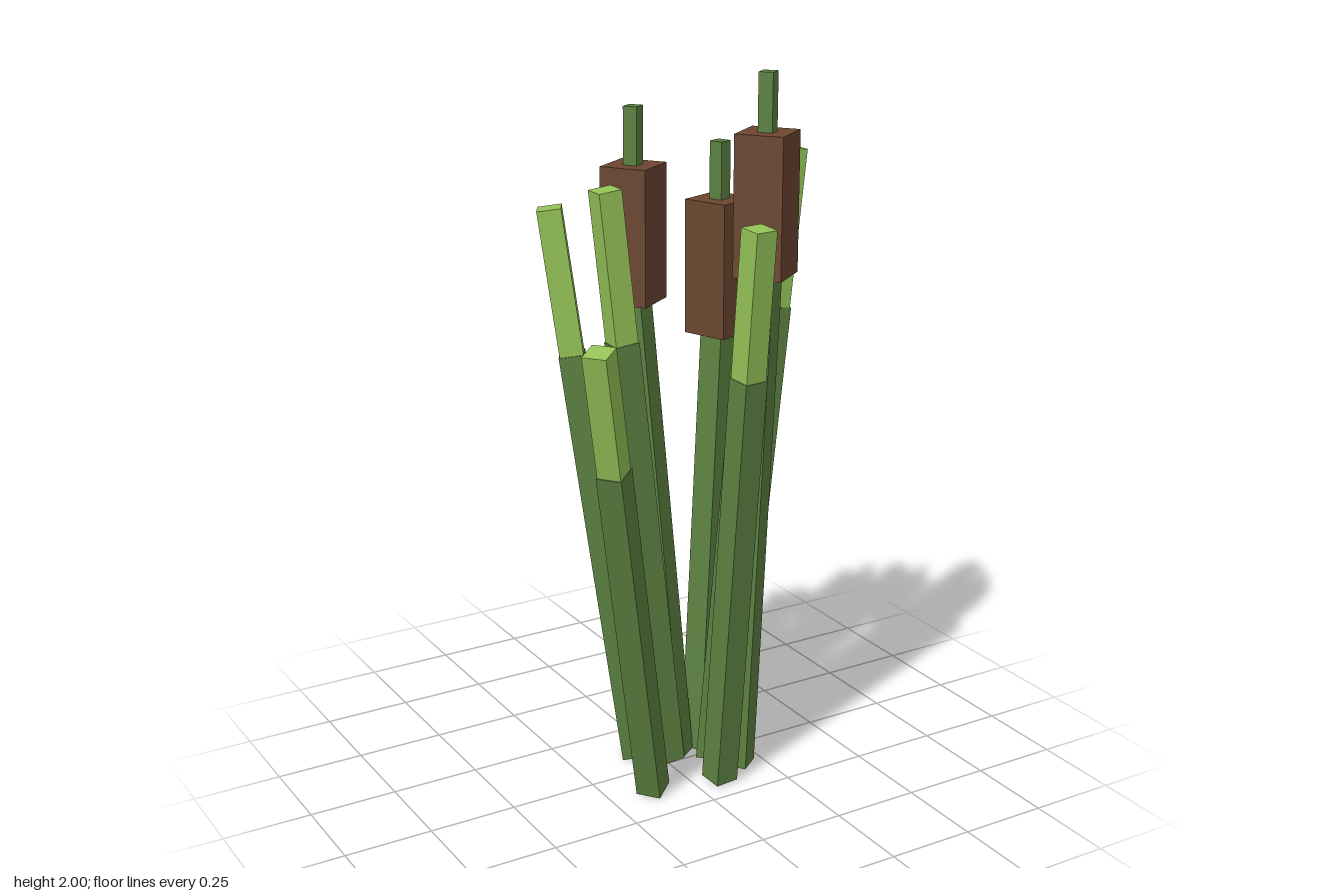
import * as THREE from 'three';

const deepGreen = new THREE.MeshStandardMaterial({ name: 'deepGreen', color: 0x5c8141 });
const lightGreen = new THREE.MeshStandardMaterial({ name: 'lightGreen', color: 0x94c257 });
const brown = new THREE.MeshStandardMaterial({ name: 'brown', color: 0x6b4630 });

const UP = new THREE.Vector3(0, 1, 0);

// Square bar between two points, its faces turned to the compass direction of the lean
function bar(name, material, from, to, width, yaw) {
  const dir = to.clone().sub(from);
  const mesh = new THREE.Mesh(new THREE.BoxGeometry(width, dir.length(), width), material);
  mesh.name = name;
  mesh.position.copy(from).add(to).multiplyScalar(0.5);
  const tilt = new THREE.Quaternion().setFromUnitVectors(UP, dir.normalize());
  mesh.quaternion.copy(tilt).multiply(new THREE.Quaternion().setFromAxisAngle(UP, yaw));
  return mesh;
}

// Leaning reed blade: dark lower length and a slightly thinner light tip
function makeBlade([bx, bz, tx, tz, height, breakY]) {
  const blade = new THREE.Group();
  blade.name = 'reedBlade';
  const base = new THREE.Vector3(bx, 0.005, bz);
  const tip = new THREE.Vector3(tx, height - 0.003, tz);
  const joint = base.clone().lerp(tip, breakY / height);
  const yaw = -Math.atan2(tz - bz, tx - bx);
  blade.add(
    bar('bladeStem', deepGreen, base, joint, 0.071, yaw),
    bar('bladeTip', lightGreen, joint, tip, 0.066, yaw),
  );
  return blade;
}

// Bulrush: leaning stem, upright brown head and a thin spike on top
function makeBulrush([bx, bz, hx, hz, headBottom, headTop, spikeTop, yaw]) {
  const rush = new THREE.Group();
  rush.name = 'bulrush';
  const at = (y) => new THREE.Vector3(hx, y, hz);
  rush.add(
    bar('bulrushStem', deepGreen, new THREE.Vector3(bx, 0.005, bz), at(headBottom + 0.01), 0.071, yaw),
    bar('bulrushHead', brown, at(headBottom), at(headTop), 0.134, yaw),
    bar('bulrushSpike', deepGreen, at(headTop), at(spikeTop), 0.04, yaw),
  );
  return rush;
}

export function createModel() {
  const model = new THREE.Group();
  model.name = 'reedClump';

  // base x, base z, tip x, tip z, height, colour break height
  const blades = [
    [-0.12, 0.117, -0.387, 0.318, 1.38, 1.035],
    [0.012, -0.022, -0.174, -0.03, 1.7, 1.28],
    [-0.06, -0.09, -0.251, -0.198, 1.63, 1.225],
    [0.208, -0.019, 0.4, -0.019, 1.76, 1.32],
    [0.196, -0.127, 0.342, -0.237, 1.52, 1.145],
    [0.07, -0.11, 0.084, -0.331, 1.278, 0.96],
    [0.075, 0.16, 0.09, 0.3, 1.63, 1.22],
    [0.126, 0.023, 0.216, 0.093, 1.467, 1.105],
  ];
  blades.forEach((b) => model.add(makeBlade(b)));

  // base x, base z, head x, head z, head bottom, head top, spike top, turn
  const rushes = [
    [0.172, 0.107, 0.198, 0.168, 1.465, 1.845, 2.0, -0.93],
    [0.05, -0.035, -0.023, -0.145, 1.355, 1.73, 1.887, -0.97],
    [0.128, -0.044, 0.21, -0.079, 1.25, 1.625, 1.783, 0.36],
  ];
  rushes.forEach((r) => model.add(makeBulrush(r)));

  return model;
}
